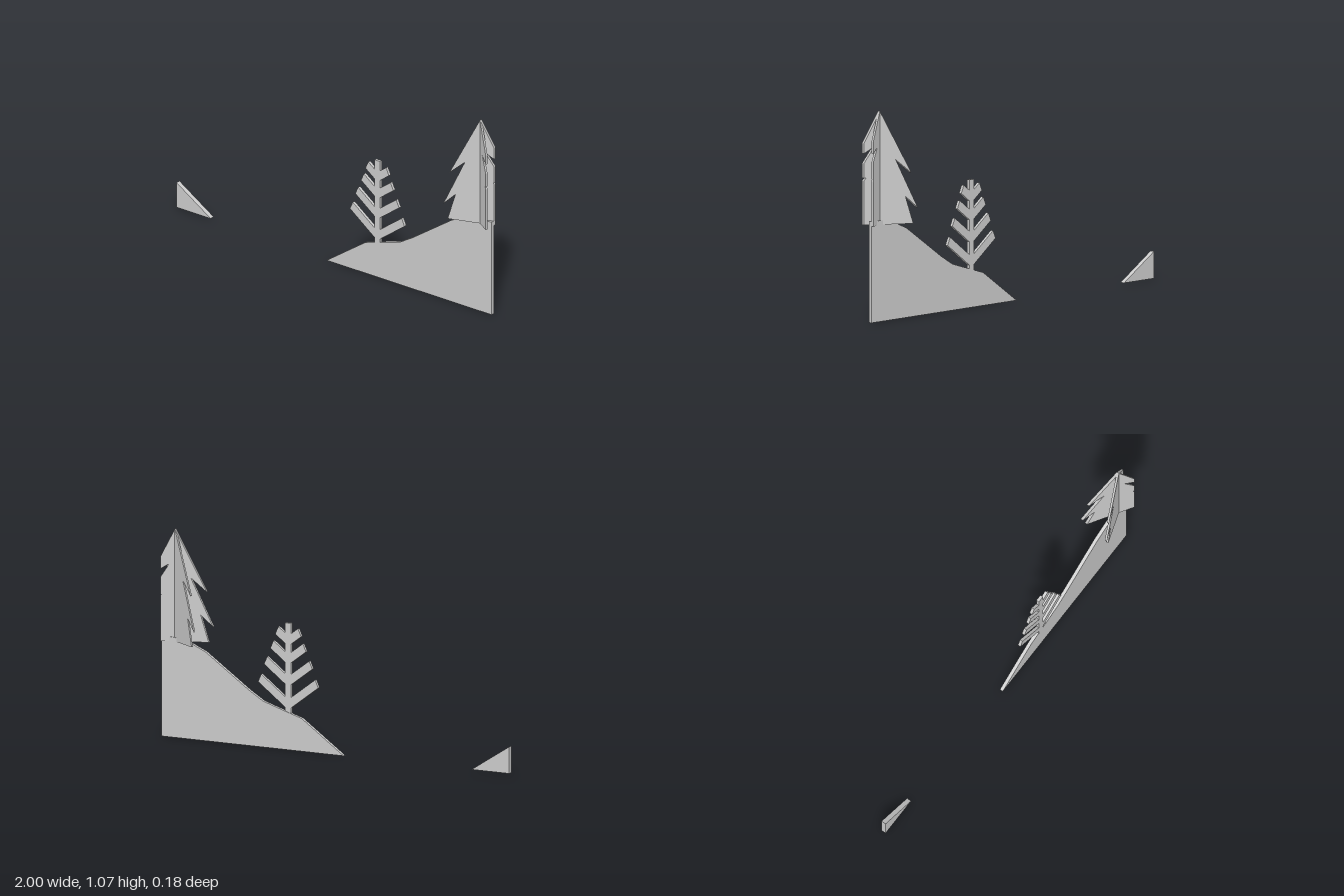
import * as THREE from 'three';

const material = new THREE.MeshStandardMaterial({ color: 0xcccccc, flatShading: true });

// Cut a flat outline out of a sheet lying between two depths
function sheet(name, points, zBack, zFront) {
  const shape = new THREE.Shape(points.map(([x, y]) => new THREE.Vector2(x, y)));
  const geometry = new THREE.ExtrudeGeometry(shape, { depth: zFront - zBack, bevelEnabled: false });
  geometry.translate(0, 0, zBack);
  const mesh = new THREE.Mesh(geometry, material);
  mesh.name = name;
  return mesh;
}

// One slanted fir panel; its right side is cut off flush with the end of the slope
function firPanel(name, angle) {
  const cos = Math.cos(angle), slope = Math.tan(angle);
  const cut = 0.07 / cos;
  const profile = [
    [0, 1.065], [-0.162, 0.748], [-0.081, 0.817], [-0.195, 0.57], [-0.131, 0.63], [-0.172, 0.49],
    [cut, 0.49], [cut, 0.715], [0.071, 0.73], [cut, 0.728],
    [cut, 0.885 - (cut - 0.03) * 1.56], [0.03, 0.885],
    [cut, 0.885 - (cut - 0.03) * 0.6], [cut, 1.065 - cut * 1.95],
  ];
  const t = 0.006 / cos;
  const mesh = sheet(name, profile.map(([d, y]) => [d * cos, y]), -t, t);
  // Shear in depth so the cut end stays square to x
  const p = mesh.geometry.attributes.position;
  for (let i = 0; i < p.count; i++) p.setZ(i, p.getZ(i) + p.getX(i) * slope);
  mesh.geometry.computeVertexNormals();
  mesh.position.set(0.93, 0, 0.02);
  return mesh;
}

// Bare tree outline: trunk with paired rising branches, mirrored about its axis
function bareTree() {
  const trunk = 0.017, rise = 0.75;
  const branches = [[0.154, 0.372], [0.12, 0.465], [0.084, 0.55], [0.056, 0.625]];
  const side = [[trunk, 0.18]];
  for (const [reach, top] of branches) {
    const low = [reach + 0.018, top - 0.04];
    side.push([trunk, low[1] - (low[0] - trunk) * rise], low, [reach, top],
      [trunk, top - (reach - trunk) * rise]);
  }
  side.push([trunk, 0.648]);
  const outline = [...side, ...side.map(([x, y]) => [-x, y]).reverse()];
  const mesh = sheet('bareTree', outline, 0.007, 0.023);
  mesh.position.x = 0.279;
  return mesh;
}

export function createModel() {
  const model = new THREE.Group();
  model.name = 'hillsideScenery';

  model.add(sheet('hill', [
    [-0.04, 0], [1, 0], [1, 0.515], [0.93, 0.512], [0.85, 0.498], [0.75, 0.455],
    [0.5, 0.283], [0.42, 0.235], [0.3, 0.198], [0.2, 0.168],
  ], 0.004, 0.022));

  model.add(sheet('smallSlope', [[-1, 0.008], [-0.785, 0.008], [-1, 0.145]], -0.021, 0.004));

  model.add(bareTree());

  // Two crossed panels form the fir
  const fir = new THREE.Group();
  fir.name = 'firTree';
  fir.add(firPanel('firPanelBack', 0.56), firPanel('firPanelFront', -0.32));
  model.add(fir);

  return model;
}
